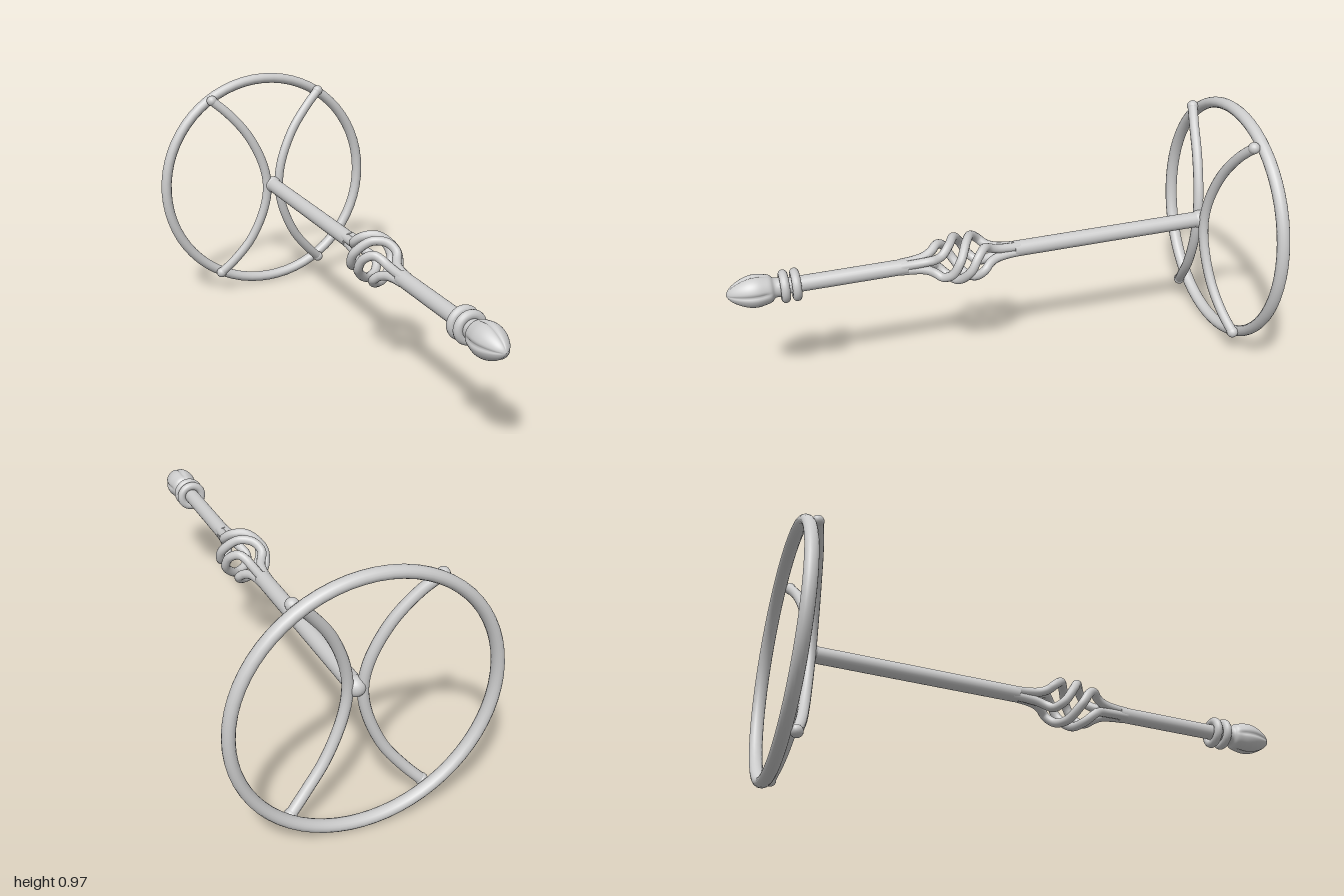
import * as THREE from 'three';

const material = new THREE.MeshStandardMaterial({ color: 0xcccccc });
const V = (x, y, z) => new THREE.Vector3(x, y, z);

function add(parent, name, geometry, x = 0, y = 0, z = 0) {
  const mesh = new THREE.Mesh(geometry, material);
  mesh.name = name;
  mesh.position.set(x, y, z);
  parent.add(mesh);
  return mesh;
}

// Rod along z between two depths
function rod(z0, z1, r) {
  return new THREE.CylinderGeometry(r, r, z1 - z0, 24)
    .rotateX(Math.PI / 2).translate(0, 0, (z0 + z1) / 2);
}

// Bud-shaped tip with four lengthwise grooves
function budGeometry() {
  const profile = [[0, 0.8], [0.036, 0.8], [0.037, 0.825], [0.05, 0.84], [0.056, 0.86], [0.061, 0.89],
    [0.058, 0.92], [0.047, 0.95], [0.031, 0.977], [0.015, 0.993], [0, 1]];
  const curve = new THREE.SplineCurve(profile.slice(1).map(p => new THREE.Vector2(...p)));
  const points = [new THREE.Vector2(0, 0.8), ...curve.getPoints(36)];
  points[points.length - 1].x = 0;
  const g = new THREE.LatheGeometry(points, 64);
  const p = g.attributes.position;
  for (let i = 0; i < p.count; i++) {
    const a = Math.atan2(p.getZ(i), p.getX(i));
    const d = a - Math.round(a / (Math.PI / 2)) * Math.PI / 2;
    const fade = THREE.MathUtils.smoothstep(p.getY(i), 0.83, 0.87);
    const k = 1 - 0.12 * fade * Math.exp(-((d / 0.12) ** 2));
    p.setX(i, p.getX(i) * k);
    p.setZ(i, p.getZ(i) * k);
  }
  g.computeVertexNormals();
  return g.rotateX(Math.PI / 2);
}

// One twisted bar of the basket
function strandGeometry(phase) {
  const half = [[0.235, 0.014], [0.18, 0.018], [0.135, 0.027], [0.105, 0.044], [0.082, 0.066], [0.05, 0.079], [0.02, 0.083]];
  const sections = [...half.map(([d, r]) => [-d, r]), ...half.slice().reverse()];
  const pts = sections.map(([d, r]) => {
    const t = THREE.MathUtils.clamp(d / 0.11, -1, 1);
    const a = phase - Math.PI * 0.55 * Math.sin(t * Math.PI / 2);
    return V(r * Math.cos(a), r * Math.sin(a), 0.122 + d);
  });
  return new THREE.TubeGeometry(new THREE.CatmullRomCurve3(pts), 64, 0.0175, 12);
}

export function createModel() {
  const model = new THREE.Group();
  model.name = 'wheelHandle';

  // Wheel rim
  const rim = add(model, 'rim', new THREE.TorusGeometry(0.464, 0.0215, 16, 64), 0, 0.486, -0.975);
  rim.scale.z = 1.15;

  // Two bowed spokes, each crossing the wheel beside the hub
  const path = [[0.25, 0.88, -0.935], [0.185, 0.82, -0.915], [0.105, 0.72, -0.897], [0.045, 0.59, -0.884], [0.028, 0.485, -0.88],
    [0.045, 0.38, -0.884], [0.105, 0.245, -0.897], [0.18, 0.15, -0.915], [0.24, 0.09, -0.935]];
  for (const side of [1, -1]) {
    const spoke = new THREE.Group();
    spoke.name = side > 0 ? 'leftSpoke' : 'rightSpoke';
    model.add(spoke);
    const pts = path.map(([x, y, z]) => V(side * x - 0.002, y, z));
    add(spoke, 'spokeBar', new THREE.TubeGeometry(new THREE.CatmullRomCurve3(pts), 64, 0.0195, 14));
    for (const p of [pts[0], pts[pts.length - 1]])
      add(spoke, 'spokeEnd', new THREE.SphereGeometry(0.0225, 16, 12), p.x, p.y, p.z);
  }

  // Shaft assembly, tilted slightly downwards to the front
  const shaft = new THREE.Group();
  shaft.name = 'shaft';
  shaft.position.set(-0.011, 0.467, 0);
  shaft.quaternion.setFromUnitVectors(V(0, 0, 1), V(-0.006, -0.0265, 1).normalize());
  model.add(shaft);
  add(shaft, 'hub', new THREE.SphereGeometry(0.036, 20, 14), 0, 0, -0.873);
  add(shaft, 'rearRod', rod(-0.88, -0.09, 0.031));
  add(shaft, 'frontRod', rod(0.33, 0.81, 0.03));

  // Twisted basket
  for (let i = 0; i < 4; i++)
    add(shaft, 'basketStrand', strandGeometry(Math.PI / 4 + i * Math.PI / 2));

  // Collar rings and bud
  for (const z of [0.748, 0.79])
    add(shaft, 'collarRing', new THREE.TorusGeometry(0.045, 0.017, 14, 40), 0, 0, z);
  add(shaft, 'bud', budGeometry());

  return model;
}
